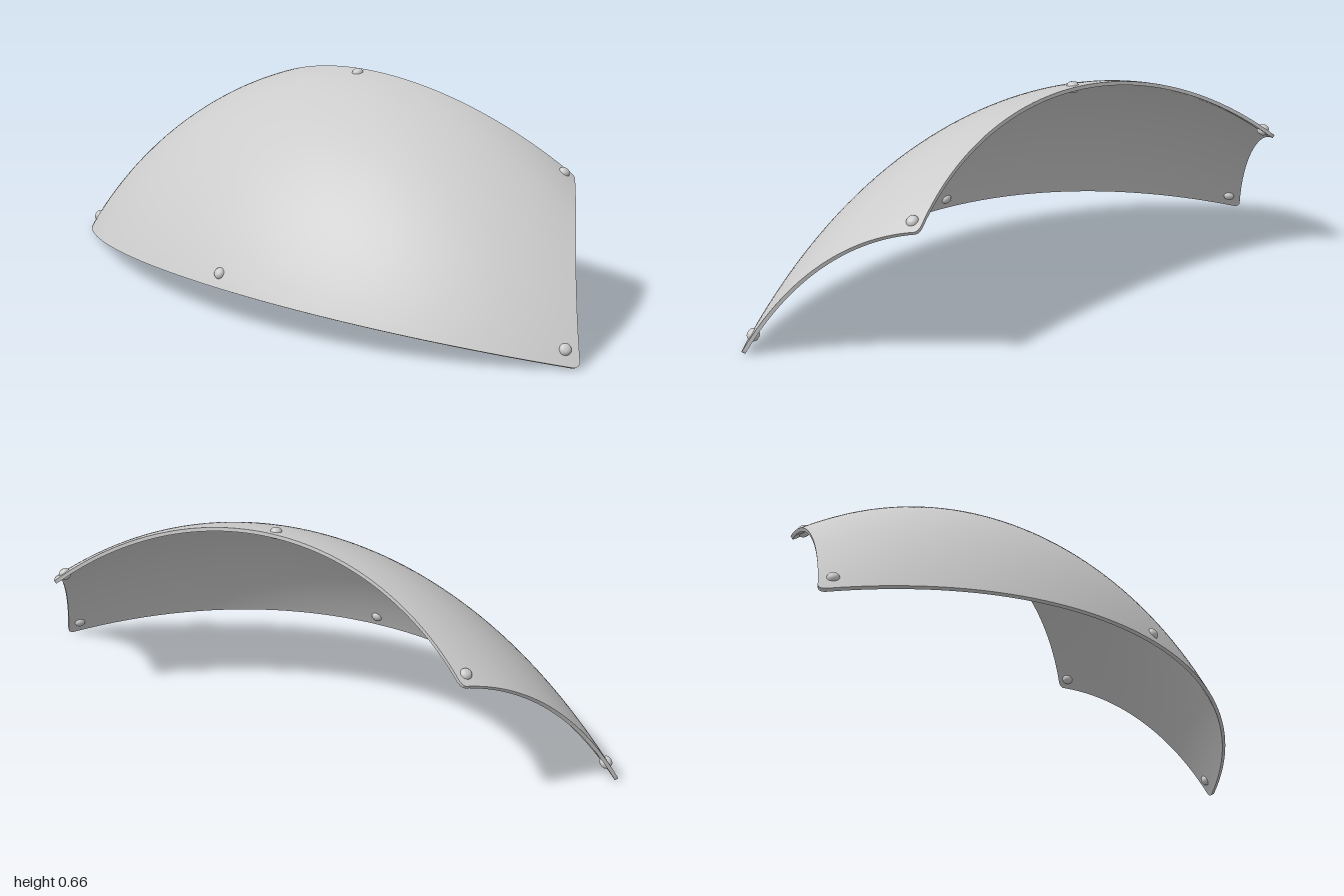
import * as THREE from 'three';
import { mergeGeometries } from 'three/addons/utils/BufferGeometryUtils.js';

const THICK = 0.011, CORNER = 0.022, LENGTH = 0.93;
const lerp = THREE.MathUtils.lerp;

// Outer surface: 90 degree arcs that tilt back from 15 to 60 degrees while shrinking.
// u runs -1..1 across, v runs 0..1 from the front edge to the back edge.
function surface(u, v) {
  const R = lerp(1.414, 0.976, v), tilt = lerp(Math.PI / 12, Math.PI / 3, v), a = u * Math.PI / 4;
  const d = R * Math.cos(a);
  return new THREE.Vector3(
    R * Math.sin(a),
    lerp(-0.254, -0.19, v) + d * Math.sin(tilt),
    lerp(-0.958, -0.755, v) + d * Math.cos(tilt));
}

function normalAt(u, v) {
  const e = 1e-3;
  const du = surface(u + e, v).sub(surface(u - e, v));
  const dv = surface(u, v + e).sub(surface(u, v - e));
  return du.cross(dv).normalize();
}

function toGeometry(points, index) {
  const g = new THREE.BufferGeometry().setFromPoints(points);
  g.setIndex(index);
  g.computeVertexNormals();
  return g;
}

// Thin curved plate with rounded corners
function plateGeometry() {
  const cols = 64, rows = [];
  const cornerSteps = 6, mid = 40, rv = CORNER / LENGTH;
  for (let i = 0; i < cornerSteps; i++) rows.push(rv * (1 - Math.cos(i / cornerSteps * Math.PI / 2)));
  for (let i = 0; i <= mid; i++) rows.push(lerp(rv, 1 - rv, i / mid));
  for (let i = cornerSteps - 1; i >= 0; i--) rows.push(1 - rows[i]);

  const outer = [], inner = [];
  for (const v of rows) {
    const d = Math.min(CORNER, Math.min(v, 1 - v) * LENGTH);
    const inset = CORNER - Math.sqrt(Math.max(0, CORNER ** 2 - (CORNER - d) ** 2));
    const width = 1 - inset / (lerp(1.414, 0.976, v) * Math.PI / 4);
    for (let j = 0; j <= cols; j++) {
      const u = width * (2 * j / cols - 1), p = surface(u, v);
      outer.push(p);
      inner.push(p.clone().addScaledVector(normalAt(u, v), -THICK));
    }
  }

  const front = [], back = [], w = cols + 1, last = rows.length - 1;
  for (let i = 0; i < last; i++) for (let j = 0; j < cols; j++) {
    const a = i * w + j, b = a + 1, c = a + w, d = c + 1;
    front.push(a, b, d, a, d, c);
    back.push(a, d, b, a, c, d);
  }

  // Rim: walk round the border and join the two skins
  const border = [];
  for (let j = 0; j < cols; j++) border.push(j);
  for (let i = 0; i < last; i++) border.push(i * w + cols);
  for (let j = cols; j > 0; j--) border.push(last * w + j);
  for (let i = last; i > 0; i--) border.push(i * w);
  const rim = [], rimIndex = [], n = border.length;
  border.forEach((k, i) => {
    rim.push(outer[k], inner[k]);
    const a = 2 * i, b = 2 * ((i + 1) % n);
    rimIndex.push(a, a + 1, b + 1, a, b + 1, b);
  });
  return mergeGeometries([toGeometry(outer, front), toGeometry(inner, back), toGeometry(rim, rimIndex)]);
}

// Rivet: a round pin with a softly domed head on each side of the plate
function rivetGeometry() {
  const r = 0.018, h = 0.017, profile = [];
  for (let i = 0; i <= 16; i++) {
    const a = (i / 16 - 0.5) * Math.PI;
    profile.push(new THREE.Vector2(r * Math.pow(Math.max(0, Math.cos(a)), 0.7), h * Math.sin(a)));
  }
  return new THREE.LatheGeometry(profile, 24);
}

export function createModel() {
  const group = new THREE.Group();
  group.name = 'curvedPlate';
  const material = new THREE.MeshStandardMaterial({ color: 0xcccccc });

  const plate = new THREE.Mesh(plateGeometry(), material);
  plate.name = 'plate';
  group.add(plate);

  // Rivets in the corners and at the middle of the front and back edges
  const rivetShape = rivetGeometry();
  const spots = {
    rivetFrontLeft: [0.964, 0.055], rivetFrontRight: [-0.964, 0.055], rivetFrontMiddle: [0, 0.038],
    rivetBackLeft: [0.95, 0.94], rivetBackRight: [-0.95, 0.94], rivetBackMiddle: [0, 0.95],
  };
  for (const [name, [u, v]] of Object.entries(spots)) {
    const rivet = new THREE.Mesh(rivetShape, material), n = normalAt(u, v);
    rivet.name = name;
    rivet.position.copy(surface(u, v)).addScaledVector(n, -THICK / 2);
    rivet.quaternion.setFromUnitVectors(new THREE.Vector3(0, 1, 0), n);
    group.add(rivet);
  }
  return group;
}
